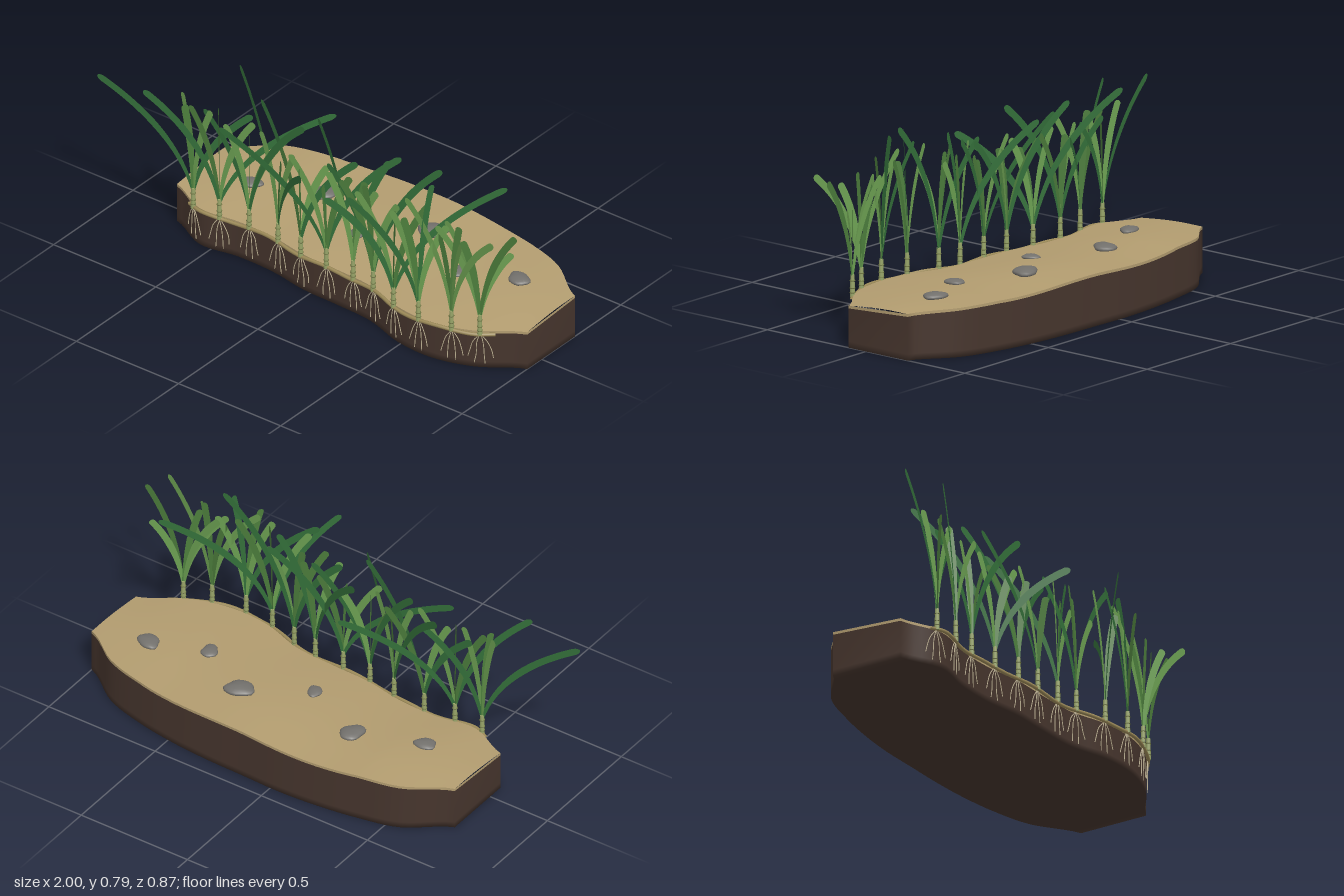
import * as THREE from 'three';

const mat = (name, color, side = THREE.FrontSide) => {
  const m = new THREE.MeshStandardMaterial({ color, side });
  m.name = name;
  return m;
};

// Outlines of the bank, evenly spaced along x
const X0 = -0.73, LEN = 1.73, N = 60;
const spline = (a) => new THREE.SplineCurve(a.map((z, i) => new THREE.Vector2(i, z)));
const frontLine = spline([0.07, 0.15, 0.13, 0.135, 0.165, 0.172, 0.185, 0.24, 0.25, 0.2, 0.09]);
const backLine = spline([-0.24, -0.36, -0.405, -0.43, -0.44, -0.435, -0.43, -0.415, -0.385, -0.33, -0.21]);
const param = (x) => THREE.MathUtils.clamp((x - X0) / LEN, 0, 1);
const frontZ = (x) => frontLine.getPoint(param(x)).y;
const backZ = (x) => backLine.getPoint(param(x)).y;

// Gently rising, rippled sand height
function height(x, z) {
  const f = frontZ(x), t = (f - z) / (f - backZ(x));
  const mid = Math.min(1, 5 * Math.min(param(x), 1 - param(x)));
  const rise = THREE.MathUtils.lerp(0.018, 0.045 + 0.006 * Math.sin(x * 8), mid);
  const start = THREE.MathUtils.lerp(0.168, 0.16, mid);
  return start + rise * Math.sin(Math.min(1, t * 1.25) * Math.PI / 2);
}

function build(points, index) {
  const g = new THREE.BufferGeometry();
  g.setAttribute('position', new THREE.Float32BufferAttribute(points, 3));
  g.setIndex(index);
  g.computeVertexNormals();
  return g;
}

// Closed wall round the bank; each row maps the sand height to a y
function wall(rows, withBottom) {
  const loop = [], pts = [], idx = [];
  for (let i = 0; i <= N; i++) { const x = X0 + LEN * i / N; loop.push([x, frontZ(x)]); }
  for (let i = N; i >= 0; i--) { const x = X0 + LEN * i / N; loop.push([x, backZ(x)]); }
  const n = loop.length;
  for (const row of rows) for (const [x, z] of loop) pts.push(x, row(height(x, z)), z);
  for (let r = 0; r < rows.length - 1; r++) for (let i = 0; i < n; i++) {
    const a = r * n + i, b = r * n + (i + 1) % n;
    idx.push(a, b, b + n, a, b + n, a + n);
  }
  if (withBottom) for (let i = 0; i < N; i++) {
    const a = i, b = i + 1, c = n - 1 - i, d = n - 2 - i;
    idx.push(a, c, b, b, c, d);
  }
  return build(pts, idx);
}

function sandTop() {
  const M = 16, pts = [], idx = [];
  for (let i = 0; i <= N; i++) for (let j = 0; j <= M; j++) {
    const x = X0 + LEN * i / N, z = THREE.MathUtils.lerp(frontZ(x), backZ(x), j / M);
    pts.push(x, height(x, z), z);
    if (i < N && j < M) {
      const a = i * (M + 1) + j, b = a + M + 1;
      idx.push(a, b, a + 1, b, b + 1, a + 1);
    }
  }
  return build(pts, idx);
}

// Strap leaf that bends within its own upright plane and ends in a round tip
function leafGeometry(base, tip) {
  const dir = new THREE.Vector3(tip.x - base.x, 0, tip.z - base.z);
  const reach = dir.length(), rise = tip.y - base.y, S = 24, pts = [], idx = [];
  dir.normalize();
  const curve = new THREE.QuadraticBezierCurve(new THREE.Vector2(0, 0),
    new THREE.Vector2(reach * 0.18, rise * 0.62), new THREE.Vector2(reach, rise));
  for (let i = 0; i <= S; i++) {
    const t = Math.sin(i / S * Math.PI / 2), p = curve.getPoint(t), d = curve.getTangent(t);
    const cap = t > 0.96 ? Math.sqrt(Math.max(0, 1 - ((t - 0.96) / 0.04) ** 2)) : 1;
    const w = 0.0145 * Math.min(1, 0.4 + 1.1 * t) * cap;
    for (const s of [-1, 1]) {
      const h = p.x - s * w * d.y;
      pts.push(base.x + dir.x * h, base.y + p.y + s * w * d.x, base.z + dir.z * h);
    }
    if (i < S) { const a = i * 2; idx.push(a, a + 1, a + 2, a + 1, a + 3, a + 2); }
  }
  return build(pts, idx);
}

export function createModel() {
  const model = new THREE.Group();
  const soil = mat('dark soil', 0x46352d), sand = mat('sand', 0xb39d70), stone = mat('grey stone', 0x72706c);
  const dark = mat('deep green', 0x34703a, THREE.DoubleSide);
  const mid = mat('mid green', 0x4c7d3c, THREE.DoubleSide);
  const light = mat('light green', 0x6ca052, THREE.DoubleSide);
  const sheathMat = mat('pale sheath', 0x97a468), ringMat = mat('olive ring', 0x6d7440);
  const stemMat = mat('tan rhizome', 0x9c8a58), rootMat = mat('pale root', 0xc4b898);
  const add = (parent, name, geo, m) => {
    const mesh = new THREE.Mesh(geo, m);
    mesh.name = name;
    parent.add(mesh);
    return mesh;
  };
  let seed = 7;
  const rnd = () => (seed = (seed * 16807) % 2147483647) / 2147483647;
  const spread = (a) => (rnd() * 2 - 1) * a;

  // Bank: soil body with a thin sand cap
  add(model, 'soilBody', wall([() => 0, () => 0.025, (h) => h - 0.011], true), soil);
  add(model, 'sandRim', wall([(h) => h - 0.011, (h) => h], false), sand);
  add(model, 'sandTop', sandTop(), sand);

  // Flattened, slightly irregular stones: x, z, radius, turn
  for (const [x, z, r, turn] of [[-0.48, -0.08, 0.045, 0.3], [-0.21, -0.185, 0.055, 1.2], [0.065, -0.045, 0.037, 2],
    [0.3, -0.215, 0.061, 0.5], [0.545, -0.065, 0.042, 1.9], [0.77, -0.155, 0.051, 2.7]]) {
    const g = new THREE.SphereGeometry(1, 18, 10), p = g.attributes.position;
    for (let i = 0; i < p.count; i++) {
      const a = Math.atan2(p.getZ(i), p.getX(i)), k = 1 + 0.07 * Math.sin(3 * a + x * 9) + 0.04 * Math.cos(5 * a);
      p.setXYZ(i, p.getX(i) * k, p.getY(i), p.getZ(i) * k);
    }
    g.computeVertexNormals();
    const s = add(model, 'stone', g, stone);
    s.scale.set(r, r * 0.3, r * 0.78);
    s.rotation.y = turn;
    s.position.set(x, height(x, z) + r * 0.12, z);
  }

  // Creeping rhizome along the front edge
  const run = [];
  for (let i = 0; i <= 24; i++) {
    const x = -0.62 + 1.52 * i / 24;
    run.push(new THREE.Vector3(x, 0.155 + 0.004 * Math.sin(i * 1.3), frontZ(x) + 0.008));
  }
  add(model, 'rhizome', new THREE.TubeGeometry(new THREE.CatmullRomCurve3(run), 96, 0.0075, 8), stemMat);

  // Shoots: x, then the tips of the long outer leaves
  const shoots = [
    [-0.59, [-0.98, 0.66, 0.25], [-0.36, 0.62, 0.07]],
    [-0.46, [-0.74, 0.69, 0.27], [-0.09, 0.64, -0.11]],
    [-0.325, [-0.03, 0.74, 0.17], [-0.56, 0.6, 0.12]],
    [-0.175, [-0.5, 0.75, -0.03], [0.08, 0.63, 0.33]],
    [-0.045, [-0.31, 0.72, 0.08], [0.2, 0.65, 0.13]],
    [0.085, [-0.4, 0.63, 0.23], [0.36, 0.7, 0.06]],
    [0.22, [-0.07, 0.7, 0.03], [0.36, 0.72, 0.13]],
    [0.33, [0.63, 0.79, 0.15], [0.1, 0.64, 0.19]],
    [0.465, [0.27, 0.665, 0.43], [0.81, 0.69, -0.03]],
    [0.6, [0.31, 0.64, 0.34], [0.62, 0.75, 0.2]],
    [0.745, [0.98, 0.65, 0.28], [0.52, 0.67, 0.24]],
    [0.85, [0.96, 0.53, 0.13], [0.67, 0.6, 0.24]],
  ];
  shoots.forEach(([x, ...tips], n) => {
    const shoot = new THREE.Group(), z = frontZ(x) + 0.008;
    shoot.name = 'shoot';
    model.add(shoot);

    // Sheath with node rings
    add(shoot, 'sheath', new THREE.CylinderGeometry(0.008, 0.0105, 0.09, 10), sheathMat).position.set(x, 0.198, z);
    for (const y of [0.172, 0.19, 0.22]) {
      const ring = add(shoot, 'nodeRing', new THREE.TorusGeometry(0.0098, 0.0018, 6, 12), ringMat);
      ring.rotation.x = Math.PI / 2;
      ring.position.set(x, y, z);
    }

    // Long outer leaves, then shorter inner leaves to both sides
    const base = new THREE.Vector3(x, 0.225, z);
    const isEnd = n > 9;
    tips.forEach((t) => add(shoot, 'outerLeaf', leafGeometry(base, new THREE.Vector3(...t)), isEnd ? light : dark));
    for (const side of [-1, 1]) {
      const tip = new THREE.Vector3(x + side * (0.12 + spread(0.05)), 0.61 + spread(0.04), z + spread(0.05));
      add(shoot, 'innerLeaf', leafGeometry(base, tip), (n + side) % 3 ? light : mid);
    }
    const up = new THREE.Vector3(x + spread(0.06), 0.6 + spread(0.06), z + spread(0.06));
    add(shoot, 'youngLeaf', leafGeometry(base, up), mid);

    // Fine roots hanging in front of the soil
    for (const k of [-1.5, -0.6, 0.5, 1.4]) {
      const path = [0, 0.35, 0.7, 1].map((t) => {
        const rx = x + k * 0.03 * Math.sqrt(t) + spread(0.003);
        return new THREE.Vector3(rx, 0.155 - t * (0.15 - Math.abs(k) * 0.03), frontZ(rx) + 0.006);
      });
      add(shoot, 'root', new THREE.TubeGeometry(new THREE.CatmullRomCurve3(path), 10, 0.0018, 5), rootMat);
    }
  });
  return model;
}
